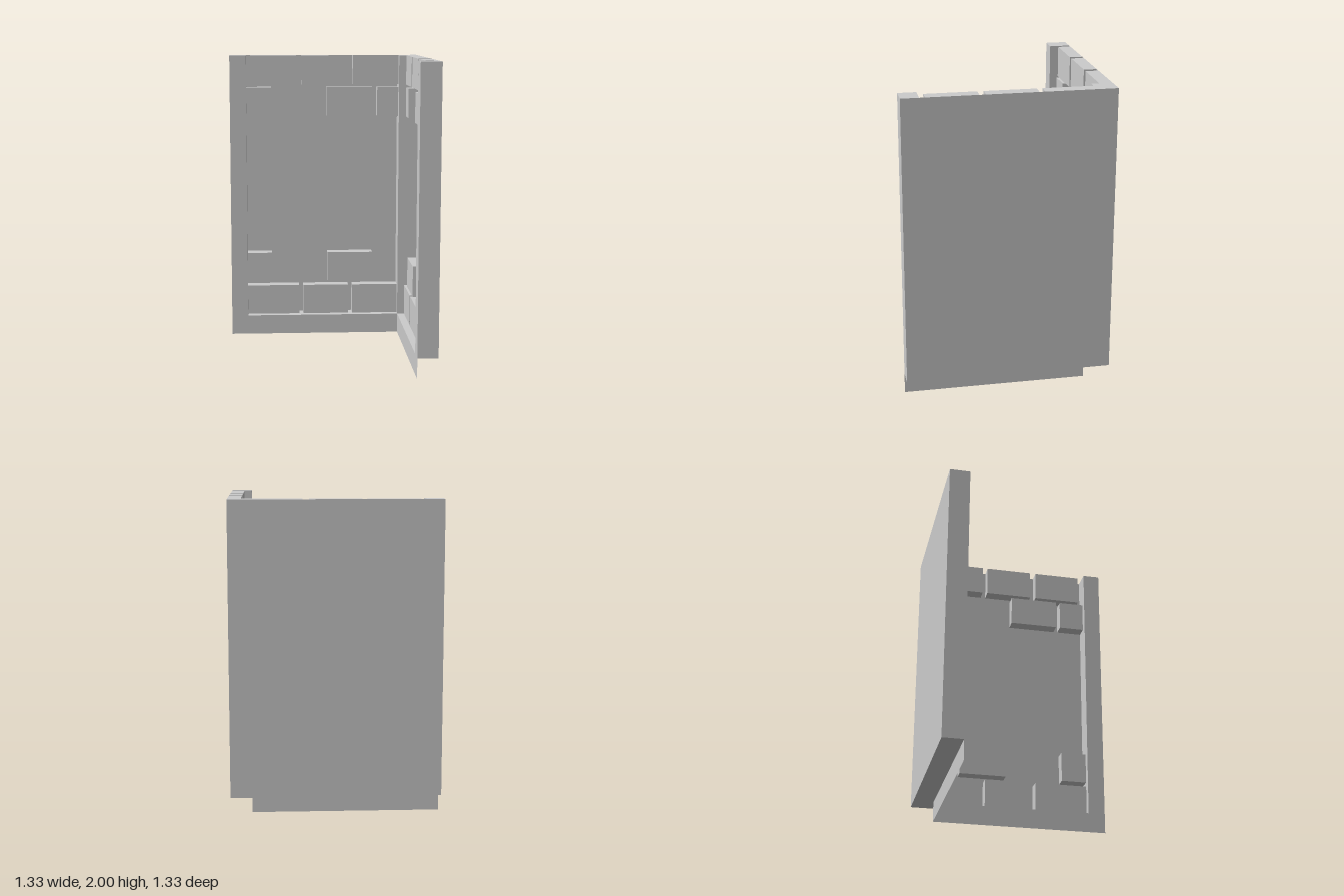
import * as THREE from 'three';

const OUT = 0.665, IN = 0.53, BRICK = 0.58; // outer skin, post face, brick face
const BASE = 0.135, TOP = 2, END = 0.55;

export function createModel() {
  const model = new THREE.Group();
  const mat = new THREE.MeshStandardMaterial({ color: 0xcccccc, flatShading: true, side: THREE.DoubleSide });

  // Box given by its limits
  function box(name, parent, x0, x1, y0, y1, z0, z1) {
    const m = new THREE.Mesh(new THREE.BoxGeometry(x1 - x0, y1 - y0, z1 - z0), mat);
    m.position.set((x0 + x1) / 2, (y0 + y1) / 2, (z0 + z1) / 2);
    m.name = name;
    parent.add(m);
  }

  // Thin upright sheet, or a flat one when tilt is set
  function sheet(name, parent, w, h, x, y, z, tilt = 0) {
    const m = new THREE.Mesh(new THREE.PlaneGeometry(w, h), mat);
    m.position.set(x, y, z);
    m.rotation.x = tilt;
    m.name = name;
    parent.add(m);
  }

  // One wall running along x, its inner side facing +z, corner at +x
  function wall(name, rows) {
    const g = new THREE.Group();
    g.name = name;
    sheet('outerPanel', g, 2 * OUT, TOP - BASE, 0, (TOP + BASE) / 2, -OUT);
    sheet('bottomLedge', g, OUT + IN, OUT - IN, (IN - OUT) / 2, BASE, -(OUT + IN) / 2, -Math.PI / 2);
    sheet('skirt', g, OUT + IN, BASE, (IN - OUT) / 2, BASE / 2, -IN);
    box('endPost', g, -OUT, -END, BASE, TOP, -OUT, -IN);
    for (const [y0, y1, spans] of rows)
      for (const [a, b] of spans) box('brick', g, a, b, y0, y1, -OUT, -BRICK);
    model.add(g);
    return g;
  }

  wall('backWall', [
    [1.795, TOP, [[-0.52, -0.195], [-0.16, 0.165], [0.205, IN]]],
    [1.57, 1.775, [[-END, -0.375], [0.02, 0.345], [0.38, IN]]],
    [0.375, 0.585, [[-END, -0.375], [0.025, 0.35]]],
    [BASE, 0.345, [[-END, -0.18], [-0.15, 0.175], [0.205, IN]]],
  ]);

  // Side wall: turned so that its local x runs toward the back
  const side = wall('sideWall', [
    [1.795, TOP, [[-0.515, -0.19], [-0.15, 0.175], [0.21, IN]]],
    [1.57, 1.775, [[-END, -0.375], [-0.345, -0.01], [0.38, IN]]],
    [0.375, 0.585, [[-END, -0.375], [0.025, 0.35]]],
    [BASE, 0.345, [[-END, -0.185], [-0.155, 0.17], [0.2, IN]]],
  ]);
  side.rotation.y = -Math.PI / 2;
  // local (x, z) -> world (-z, x); flip so the corner meets the back wall
  side.scale.x = -1;

  // Square post joining the two walls
  box('cornerPost', model, IN, OUT, BASE, TOP, -OUT, -IN);
  return model;
}
